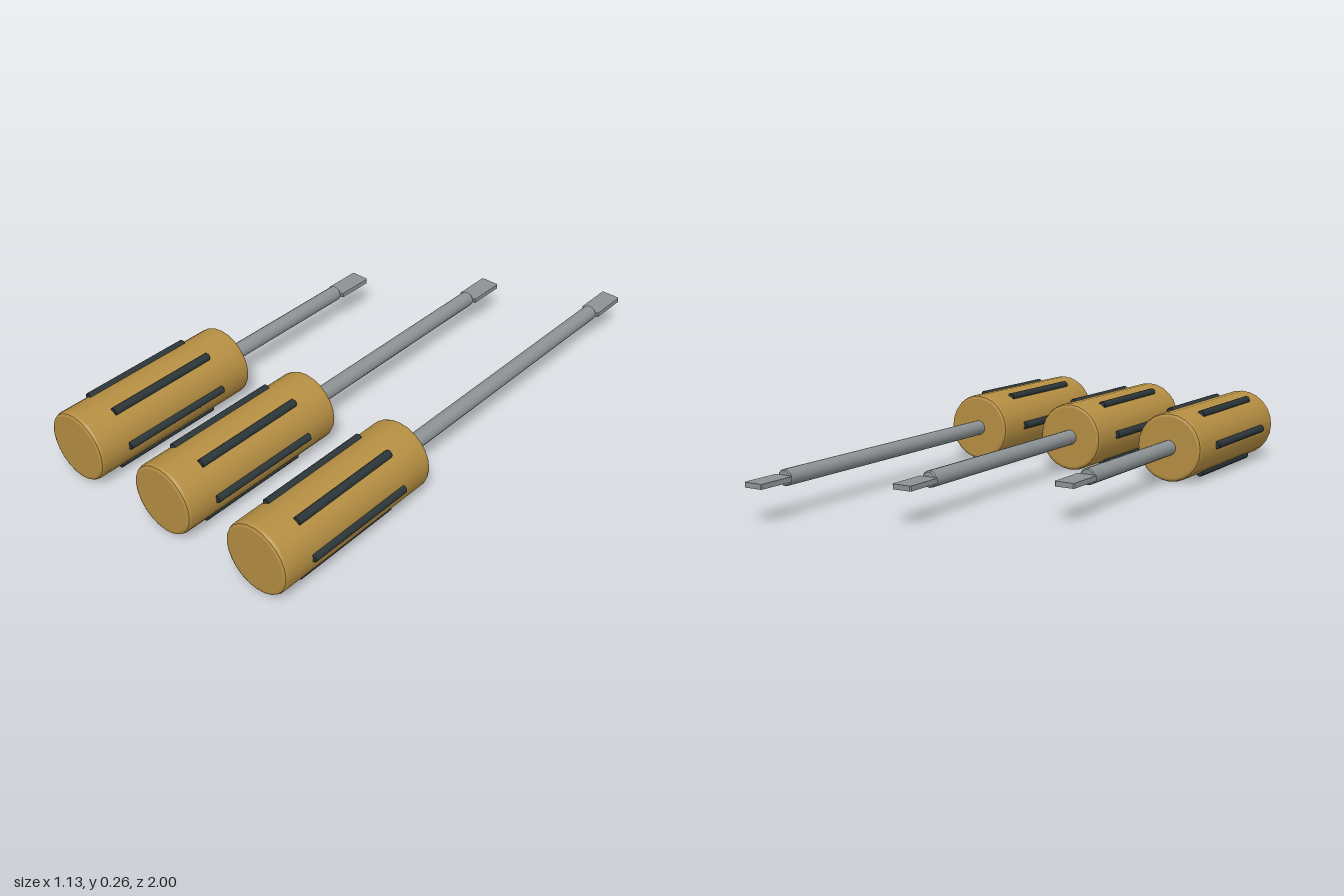
import * as THREE from 'three';
import { toCreasedNormals } from 'three/addons/utils/BufferGeometryUtils.js';

const AXIS_Y = 0.132;       // height of every tool's axis
const HANDLE_R = 0.13;
const HANDLE_BACK = 0.305, HANDLE_FRONT = 1;
const TIP_LENGTH = 0.15;

const material = (name, color) => {
  const m = new THREE.MeshStandardMaterial({ color });
  m.name = name;
  return m;
};

// Solid of revolution lying along z, from [radius, z] pairs
function turned(profile, sides) {
  const points = profile.map(([r, z]) => new THREE.Vector2(r, z));
  const geometry = new THREE.LatheGeometry(points, sides).rotateX(Math.PI / 2);
  return toCreasedNormals(geometry, 0.4);
}

// Rod along z with a small chamfer at both ends
function rod(radius, z0, z1, chamfer, sides) {
  return turned([
    [0, z0], [radius - chamfer, z0], [radius, z0 + chamfer],
    [radius, z1 - chamfer], [radius - chamfer, z1], [0, z1],
  ], sides);
}

function addMesh(parent, name, geometry, mat) {
  const mesh = new THREE.Mesh(geometry, mat);
  mesh.name = name;
  parent.add(mesh);
  return mesh;
}

export function createModel() {
  const amber = material('amber handle', 0xb58e42);
  const rubber = material('dark rubber', 0x2b3538);
  const steel = material('steel', 0x8c9294);

  // Handle with rounded rims
  const b = 0.013, k = b * 0.3;
  const handleGeometry = turned([
    [0, HANDLE_BACK], [HANDLE_R - b, HANDLE_BACK], [HANDLE_R - k, HANDLE_BACK + k],
    [HANDLE_R, HANDLE_BACK + b], [HANDLE_R, HANDLE_FRONT - b],
    [HANDLE_R - k, HANDLE_FRONT - k], [HANDLE_R - b, HANDLE_FRONT], [0, HANDLE_FRONT],
  ], 24);
  const gripGeometry = rod(0.015, 0.443, 0.88, 0.002, 12);

  // Flat blade with slightly chamfered corners
  const w = 0.037, h = TIP_LENGTH / 2, c = 0.004;
  const outline = new THREE.Shape([
    [-w + c, -h], [w - c, -h], [w, -h + c], [w, h - c],
    [w - c, h], [-w + c, h], [-w, h - c], [-w, -h + c],
  ].map(([x, y]) => new THREE.Vector2(x, y)));
  const tipGeometry = new THREE.ExtrudeGeometry(outline, { depth: 0.018, bevelEnabled: false })
    .translate(0, 0, -0.009).rotateX(Math.PI / 2);

  const model = new THREE.Group();
  model.name = 'screwdriverSet';

  // Three tools, short to long
  [[-0.422, -0.46], [0, -0.77], [0.422, -1]].forEach(([x, end], i) => {
    const tool = new THREE.Group();
    tool.name = ['shortScrewdriver', 'mediumScrewdriver', 'longScrewdriver'][i];
    tool.position.set(x, AXIS_Y, 0);
    model.add(tool);

    addMesh(tool, 'handle', handleGeometry, amber);

    // Six grip strips around the handle
    for (let s = 0; s < 6; s++) {
      const a = s * Math.PI / 3;
      const grip = addMesh(tool, 'gripStrip', gripGeometry, rubber);
      grip.position.set(Math.cos(a) * 0.129, Math.sin(a) * 0.129, 0);
    }

    const shaftEnd = end + TIP_LENGTH;
    addMesh(tool, 'shaft', rod(0.029, shaftEnd, HANDLE_BACK + 0.03, 0.004, 16), steel);
    addMesh(tool, 'bladeTip', tipGeometry, steel).position.z = end + TIP_LENGTH / 2;
  });

  return model;
}
